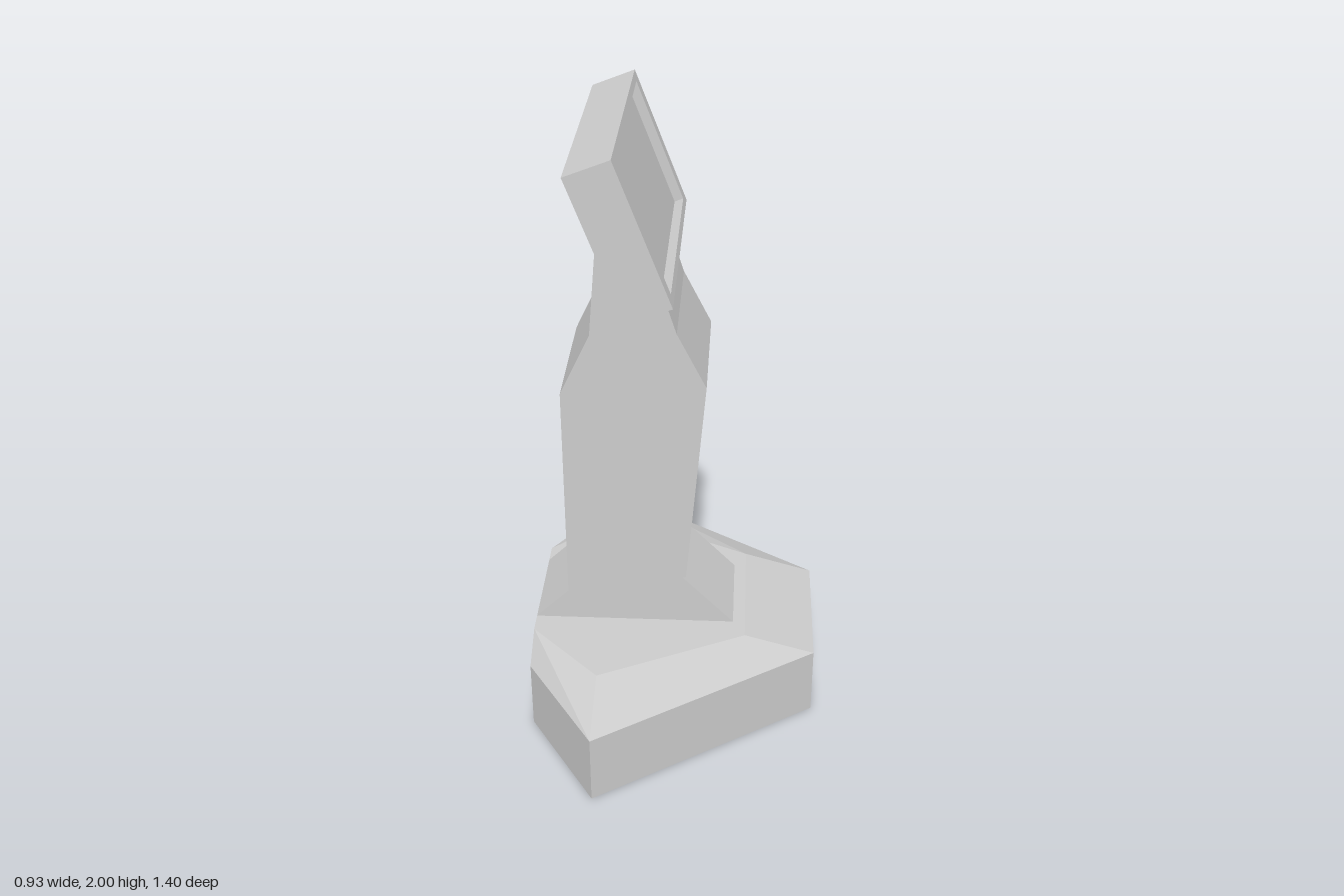
import * as THREE from 'three';
import { ConvexGeometry } from 'three/addons/geometries/ConvexGeometry.js';

const material = new THREE.MeshStandardMaterial({ color: 0xcccccc, flatShading: true });

function part(name, geometry, parent) {
  const mesh = new THREE.Mesh(geometry, material);
  mesh.name = name;
  parent.add(mesh);
  return mesh;
}

// Side profile (x, y) extruded symmetrically along z
function slab(points, halfWidth) {
  const shape = new THREE.Shape(points.map(([x, y]) => new THREE.Vector2(x, y)));
  return new THREE.ExtrudeGeometry(shape, { depth: halfWidth * 2, bevelEnabled: false })
    .translate(0, 0, -halfWidth);
}

function rectangle(target, halfW, halfH) {
  target.moveTo(-halfW, -halfH);
  target.lineTo(halfW, -halfH);
  target.lineTo(halfW, halfH);
  target.lineTo(-halfW, halfH);
  target.closePath();
  return target;
}

export function createModel() {
  const model = new THREE.Group();
  model.name = 'consoleKiosk';

  // Six-sided plinth with a sloping upper edge; corners mirrored in z
  const outline = [[-0.465, 0.35], [-0.235, 0.7], [0.465, 0.235]];
  const topOutline = [[-0.465, 0.235], [-0.235, 0.465], [0.235, 0.235]];
  const corners = [];
  for (const [ring, y] of [[outline, 0], [outline, 0.235], [topOutline, 0.3]]) {
    for (const [x, z] of ring) {
      corners.push(new THREE.Vector3(x, y, z), new THREE.Vector3(x, y, -z));
    }
  }
  part('base', new ConvexGeometry(corners), model);

  // Wedge foot between plinth and column
  part('foot', slab([
    [-0.465, 0.3], [0.195, 0.3], [-0.01, 0.511], [-0.26, 0.5],
  ], 0.163), model);

  // Angular column, its tip buried in the screen housing
  part('column', slab([
    [-0.345, 0.39], [0.04, 0.527], [0.1, 1.222], [0.01, 1.4], [-0.038, 1.55],
    [-0.06, 1.6], [-0.2, 1.76], [-0.218, 1.76], [-0.25, 1.39], [-0.345, 1.19],
  ], 0.232), model);

  // Tilted screen: solid housing with a raised frame around the panel
  const screen = new THREE.Group();
  screen.name = 'screen';
  screen.position.set(-0.14, 1.76, 0);
  screen.rotation.z = THREE.MathUtils.degToRad(20.9);
  model.add(screen);

  part('screenHousing', new THREE.BoxGeometry(0.114, 0.46, 0.846), screen).position.x = -0.015;

  const frame = rectangle(new THREE.Shape(), 0.423, 0.23);
  frame.holes.push(rectangle(new THREE.Path(), 0.373, 0.206));
  part('screenFrame', new THREE.ExtrudeGeometry(frame, { depth: 0.03, bevelEnabled: false })
    .rotateY(Math.PI / 2), screen).position.x = 0.042;

  return model;
}
